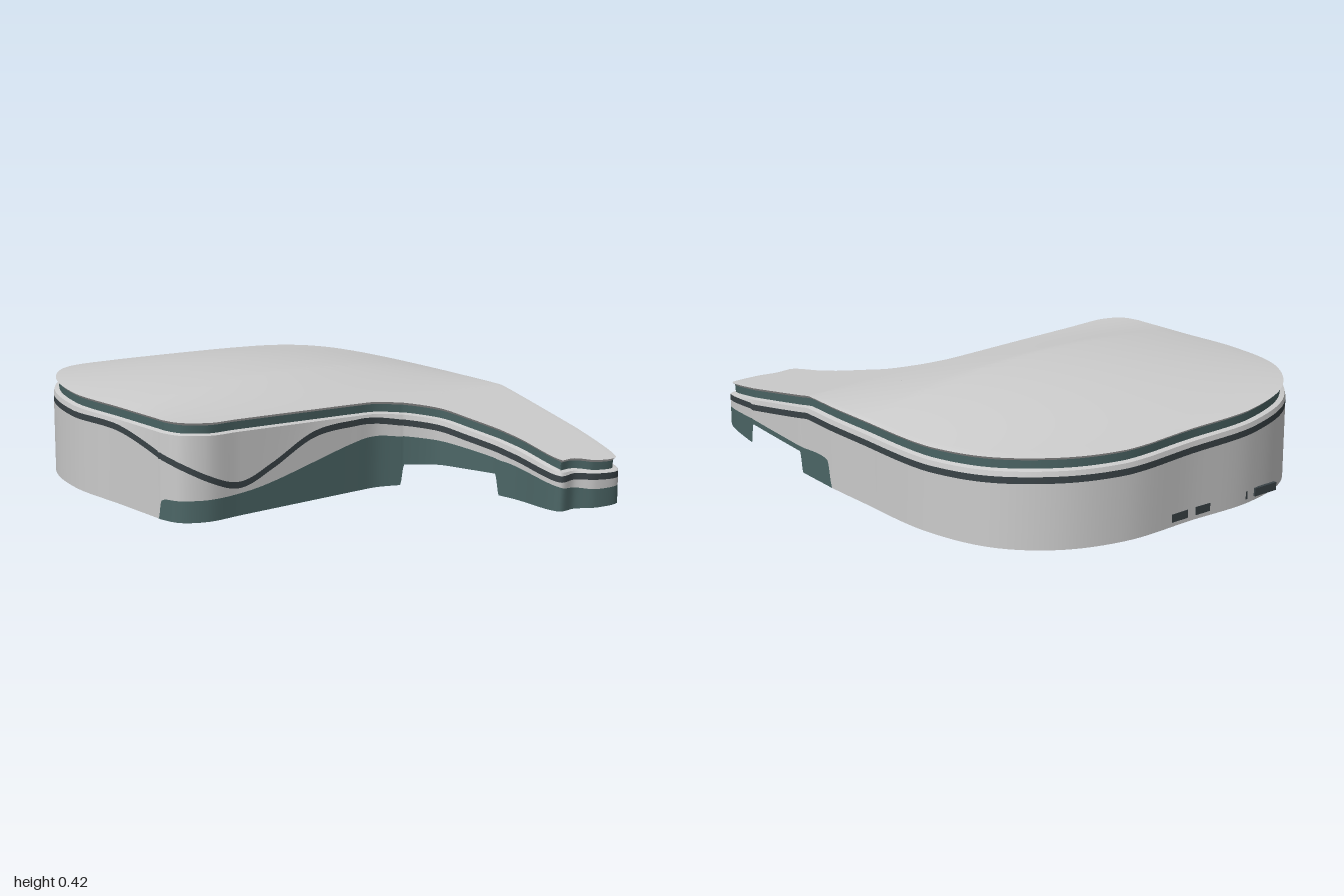
import * as THREE from 'three';

const LIGHT = 0xcccccc, TEAL = 0x4c6666, DARK = 0x3a4347;

// Plan control points, clockwise from above:
// [x, z, top of plinth, drop of dark stripe below the roof edge, bottom of wall]
const backAndRight = [
  [-0.28, -1, 0, 0.075, 0], [0.02, -1, 0, 0.075, 0], [0.32, -1, 0, 0.075, 0],
  [0.55, -0.92, 0, 0.075, 0], [0.71, -0.76, 0, 0.075, 0], [0.79, -0.5, 0, 0.075, 0],
  [0.79, -0.1, 0, 0.075, 0], [0.786, 0.08, 0, 0.075, 0], [0.784, 0.11, 0.1, 0.075, 0],
  [0.771, 0.29, 0.1, 0.075, 0], [0.77, 0.31, 0.1, 0.075, 0.08],
  [0.725, 0.7, 0.1, 0.075, 0.08], [0.722, 0.72, 0.1, 0.07, 0],
];
const arm = [
  [0.67, 0.94, 0.08, 0.06, 0], [0.64, 0.99, 0.07, 0.06, 0], [0.53, 0.985, 0.07, 0.06, 0],
  [0.46, 0.945, 0.08, 0.065, 0], [0.39, 0.94, 0.09, 0.07, 0], [0.385, 0.72, 0.125, 0.075, 0],
  [0.377, 0.64, 0.135, 0.075, 0], [0.374, 0.62, 0.14, 0.075, 0.08],
  [0.34, 0.5, 0.16, 0.075, 0.08], [0.3, 0.385, 0.175, 0.075, 0.08],
  [0.205, 0.302, 0.19, 0.075, 0.08], [0.19, 0.295, 0.19, 0.075, 0],
];
const frontAndLeft = [
  [0.1, 0.262, 0.2, 0.07, 0], [0, 0.257, 0.19, 0.07, 0], [-0.2, 0.255, 0.145, 0.092, 0],
  [-0.4, 0.253, 0.1, 0.19, 0], [-0.54, 0.252, 0.082, 0.24, 0], [-0.68, 0.25, 0.08, 0.2, 0],
  [-0.765, 0.2, 0.08, 0.155, 0], [-0.79, 0.12, 0.07, 0.13, 0], [-0.79, 0.1, 0, 0.125, 0],
  [-0.79, -0.15, 0, 0.075, 0], [-0.79, -0.45, 0, 0.075, 0], [-0.71, -0.72, 0, 0.075, 0],
  [-0.53, -0.92, 0, 0.075, 0],
];

// Roof height: a tilted edge plane, a dome on the main body and a slope down the arm
function roofHeight(x, z) {
  const edge = 0.335 - 0.035 * x - 0.19 * Math.max(0, z - 0.25);
  const across = Math.max(0, 1 - (x / 0.79) ** 2);
  const along = Math.max(0, Math.min(1 - ((z + 0.25) / 0.75) ** 2, (0.25 - z) * 2.7));
  return edge + 0.08 * across * along;
}

// Sample the outline together with the heights of its bands
function sampleOutline() {
  const rows = [...backAndRight, ...arm, ...frontAndLeft];
  const plan = new THREE.CatmullRomCurve3(rows.map(r => new THREE.Vector3(r[0], 0, r[1])), true);
  const levels = new THREE.CatmullRomCurve3(
    rows.map(r => new THREE.Vector3(r[2], r[3], r[4])), true, 'catmullrom', 0.5);
  const count = rows.length * 10;
  return Array.from({ length: count }, (_, i) => {
    const t = i / count, p = plan.getPoint(t), d = plan.getTangent(t), l = levels.getPoint(t);
    const base = THREE.MathUtils.clamp(l.z, 0, 0.08);
    const edge = roofHeight(p.x, p.z);
    return {
      x: p.x, z: p.z, nx: d.z, nz: -d.x, edge, base,
      plinth: Math.max(l.x, base), stripe: edge - l.y,
    };
  });
}

// Join closed rings of points into a skin
function loft(name, color, rings) {
  const n = rings[0].length, index = [];
  for (let r = 0; r < rings.length - 1; r++) {
    for (let i = 0; i < n; i++) {
      const a = r * n + i, b = r * n + (i + 1) % n, c = a + n, d = b + n;
      index.push(a, c, b, b, c, d);
    }
  }
  const geometry = new THREE.BufferGeometry();
  geometry.setAttribute('position', new THREE.Float32BufferAttribute(rings.flat(2), 3));
  geometry.setIndex(index);
  geometry.computeVertexNormals();
  const mesh = new THREE.Mesh(geometry,
    new THREE.MeshStandardMaterial({ color, side: THREE.DoubleSide }));
  mesh.name = name;
  return mesh;
}

export function createModel() {
  const group = new THREE.Group();
  group.name = 'building';
  const outline = sampleOutline();
  const ring = (inset, height) =>
    outline.map(s => [s.x - s.nx * inset, height(s), s.z - s.nz * inset]);
  const band = (name, color, insetA, low, insetB, high) =>
    group.add(loft(name, color, [ring(insetA, low), ring(insetB, high)]));

  // Wall, from the ground up
  const stripeLow = s => s.stripe - 0.012, stripeHigh = s => s.stripe + 0.012;
  const wallTop = s => s.edge - 0.045;
  band('plinth', TEAL, 0, s => s.base, 0, s => s.plinth);
  band('lowerWall', LIGHT, 0, s => s.plinth, 0, stripeLow);
  band('wallStripe', DARK, 0, stripeLow, 0, stripeHigh);
  band('upperWall', LIGHT, 0, stripeHigh, 0.004, wallTop);

  // Recessed fascia and roof lip
  band('wallLedge', LIGHT, 0.004, wallTop, 0.022, s => s.edge - 0.04);
  band('fascia', TEAL, 0.022, s => s.edge - 0.04, 0.02, s => s.edge - 0.01);
  band('roofLip', LIGHT, 0.02, s => s.edge - 0.01, 0.01, s => s.edge);

  // Roof skin, drawn in towards a point that sees the whole outline
  const cx = 0.45, cz = 0.1, steps = 28;
  const rim = ring(0.01, s => s.edge);
  const roofRings = [rim];
  for (let k = 1; k <= steps; k++) {
    const f = Math.max(1 - k / steps, 0.0005);
    roofRings.push(rim.map(([px, , pz]) => {
      const x = cx + (px - cx) * f, z = cz + (pz - cz) * f;
      return [x, roofHeight(x, z), z];
    }));
  }
  group.add(loft('roof', LIGHT, roofRings));

  // Row of low vents in the back wall
  const ventGeometry = new THREE.BoxGeometry(0.11, 0.03, 0.012);
  const ventMaterial = new THREE.MeshStandardMaterial({ color: DARK });
  for (let i = 0; i < 5; i++) {
    const vent = new THREE.Mesh(ventGeometry, ventMaterial);
    vent.name = 'vent';
    vent.position.set(-0.36 + 0.15 * i, 0.03, -0.997);
    group.add(vent);
  }
  return group;
}
